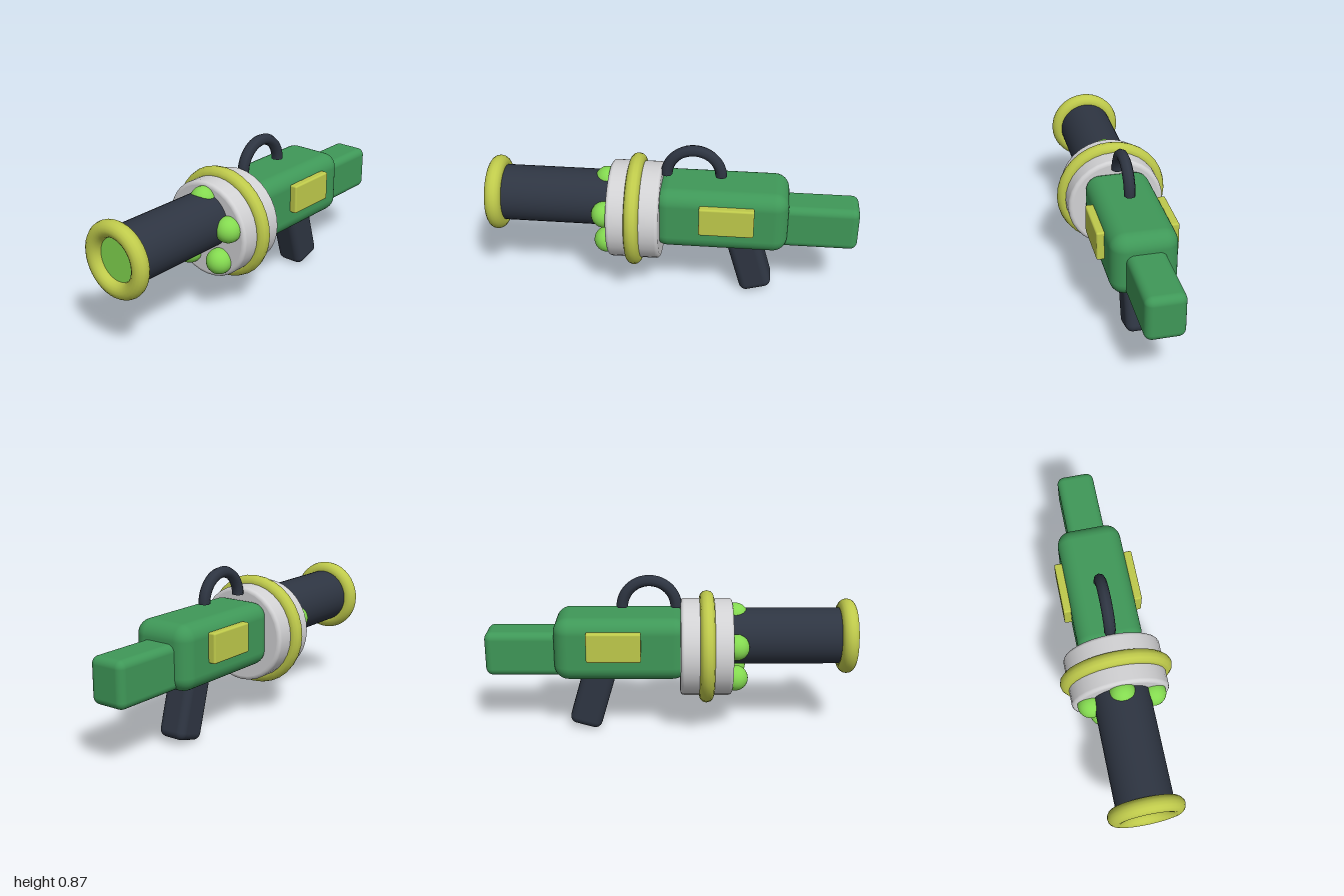
import * as THREE from 'three';
import { RoundedBoxGeometry } from 'three/addons/geometries/RoundedBoxGeometry.js';

const paint = (name, color) => {
  const m = new THREE.MeshStandardMaterial({ color });
  m.name = name;
  return m;
};

export function createModel() {
  const green = paint('body green', 0x3f9858);
  const lime = paint('glowing lime', 0x84da50);
  const yellow = paint('trim yellow', 0xbfca4b);
  const grey = paint('drum grey', 0xd2d2d4);
  const dark = paint('dark steel', 0x2e3542);

  const group = new THREE.Group();
  group.name = 'blaster';

  const add = (name, geometry, material, x, y, z, rx = 0, ry = 0) => {
    const mesh = new THREE.Mesh(geometry, material);
    mesh.name = name;
    mesh.position.set(x, y, z);
    mesh.rotation.set(rx, ry, 0);
    group.add(mesh);
    return mesh;
  };
  const box = (w, h, d, r) => new RoundedBoxGeometry(w, h, d, 4, r);

  // Body and stock
  add('body', box(0.35, 0.345, 0.72, 0.08), green, 0, 0.4875, -0.265);
  add('stock', box(0.206, 0.243, 0.45, 0.04), green, 0, 0.4465, -0.775);

  // Side plates
  for (const s of [-1, 1]) {
    add(s > 0 ? 'leftPlate' : 'rightPlate', box(0.045, 0.16, 0.29, 0.01), yellow, s * 0.1925, 0.525, -0.3);
  }

  // Drum with softened rims, lathed along z
  const R = 0.265, H = 0.14, b = 0.02;
  const profile = [new THREE.Vector2(0, -H), new THREE.Vector2(R - b - 0.002, -H)];
  for (const end of [-1, 1]) {
    for (let i = 0; i <= 4; i++) {
      const a = (end < 0 ? i - 4 : i) * Math.PI / 8;
      profile.push(new THREE.Vector2(R - b + b * Math.cos(a), end * (H - b) + b * Math.sin(a)));
    }
  }
  profile.push(new THREE.Vector2(R - b - 0.002, H), new THREE.Vector2(0, H));
  add('drum', new THREE.LatheGeometry(profile, 32), grey, 0, 0.462, 0.195, Math.PI / 2);
  add('drumRing', new THREE.TorusGeometry(0.267, 0.04, 12, 32), yellow, 0, 0.462, 0.197);

  // Five bulbs around the drum face
  for (let i = 0; i < 5; i++) {
    const a = Math.PI / 2 + i * Math.PI * 2 / 5;
    add('bulb', new THREE.SphereGeometry(0.07, 24, 16), lime,
      0.177 * Math.cos(a), 0.462 + 0.177 * Math.sin(a), 0.35);
  }

  // Barrel, muzzle ring and glowing bore
  add('barrel', new THREE.CylinderGeometry(0.152, 0.152, 0.66, 32), dark, 0, 0.525, 0.62, Math.PI / 2);
  add('muzzleRing', new THREE.TorusGeometry(0.159, 0.044, 16, 40), yellow, 0, 0.523, 0.956);
  add('bore', new THREE.CircleGeometry(0.13, 32), lime, 0, 0.523, 0.954);

  // Carry handle arch
  add('carryHandle', new THREE.TorusGeometry(0.145, 0.031, 8, 24, Math.PI), dark, 0, 0.69, -0.113, 0, Math.PI / 2);

  // Grip and trigger
  const tilt = 0.28;
  add('grip', box(0.164, 0.4, 0.178, 0.04), dark,
    0, 0.015 + 0.2 * Math.cos(tilt), -0.475 + 0.2 * Math.sin(tilt), tilt);
  add('trigger', new THREE.CylinderGeometry(0.02, 0.02, 0.08, 6), dark, 0, 0.319, -0.197, -0.28);

  return group;
}
